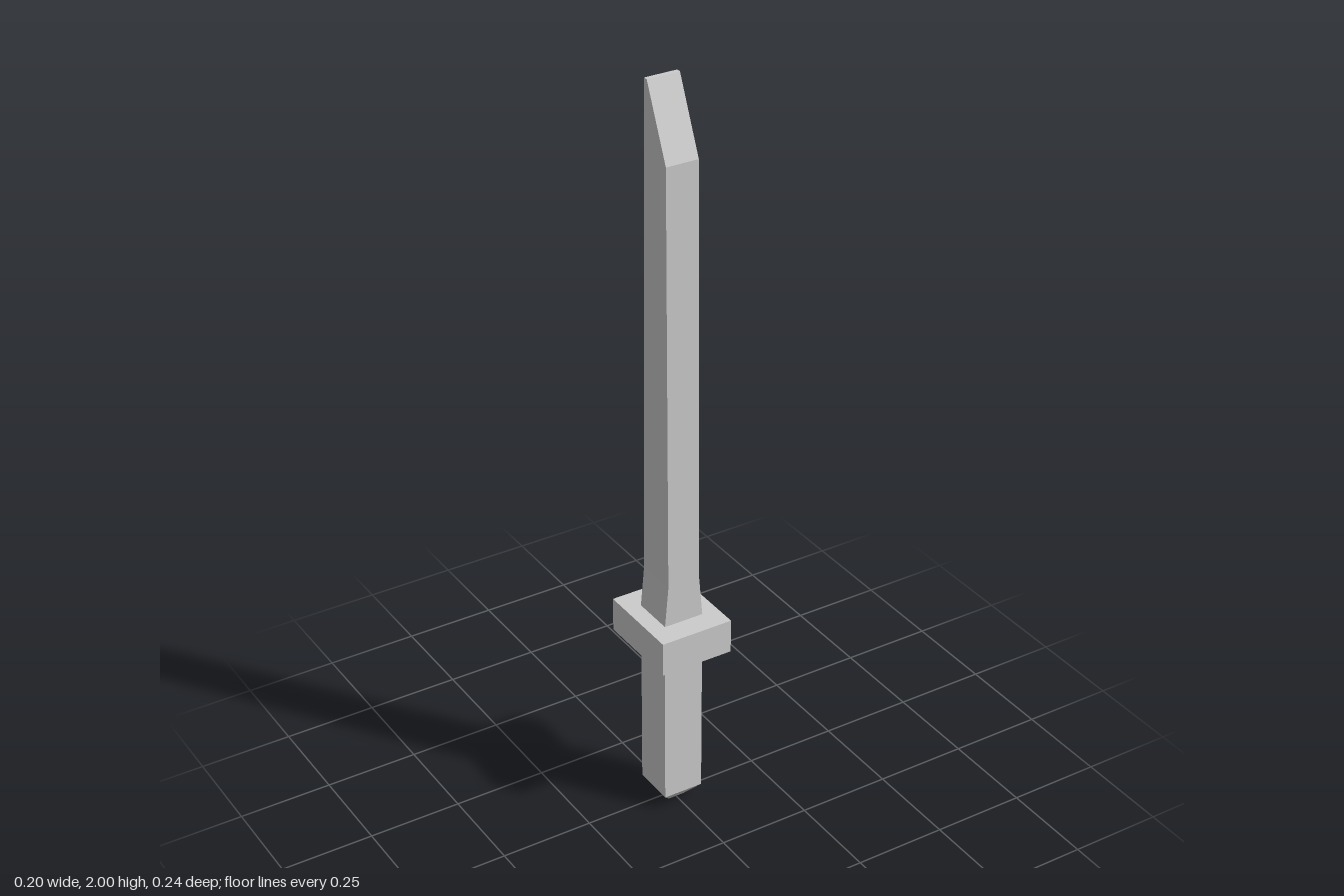
import * as THREE from 'three';

const material = new THREE.MeshStandardMaterial({ color: 0xcccccc, flatShading: true });

// Closed loft through rectangular sections [y, halfWidth, zBack, zFront], bottom to top
function loft(name, sections) {
  const rings = sections.map(([y, w, zb, zf]) => [
    new THREE.Vector3(w, y, zf),
    new THREE.Vector3(w, y, zb),
    new THREE.Vector3(-w, y, zb),
    new THREE.Vector3(-w, y, zf),
  ]);
  const points = [];
  const quad = (a, b, c, d) => points.push(a, b, c, a, c, d);
  for (let r = 0; r < rings.length - 1; r++) {
    for (let i = 0; i < 4; i++) {
      const j = (i + 1) % 4;
      quad(rings[r][i], rings[r][j], rings[r + 1][j], rings[r + 1][i]);
    }
  }
  quad(...rings[rings.length - 1]);
  quad(...[...rings[0]].reverse());

  const geometry = new THREE.BufferGeometry().setFromPoints(points);
  geometry.computeVertexNormals();
  const mesh = new THREE.Mesh(geometry, material);
  mesh.name = name;
  return mesh;
}

export function createModel() {
  const sword = new THREE.Group();
  sword.name = 'sword';

  // Square grip
  sword.add(loft('grip', [
    [0.04, 0.055, -0.057, 0.057],
    [0.48, 0.055, -0.057, 0.057],
  ]));

  // Tapered pommel under the grip
  sword.add(loft('pommel', [
    [0, 0.022, -0.022, 0.022],
    [0.04, 0.055, -0.057, 0.057],
  ]));

  // Crossguard block
  const guard = new THREE.Mesh(new THREE.BoxGeometry(0.2, 0.093, 0.24), material);
  guard.name = 'guard';
  guard.position.y = 0.527;
  sword.add(guard);

  // Blade: flared base, slight taper, tip slanting up towards the back
  sword.add(loft('blade', [
    [0.573, 0.055, -0.058, 0.057],
    [0.685, 0.045, -0.058, 0.057],
    [1.815, 0.044, -0.048, 0.046],
    [2, 0.044, -0.047, -0.035],
  ]));

  return sword;
}
